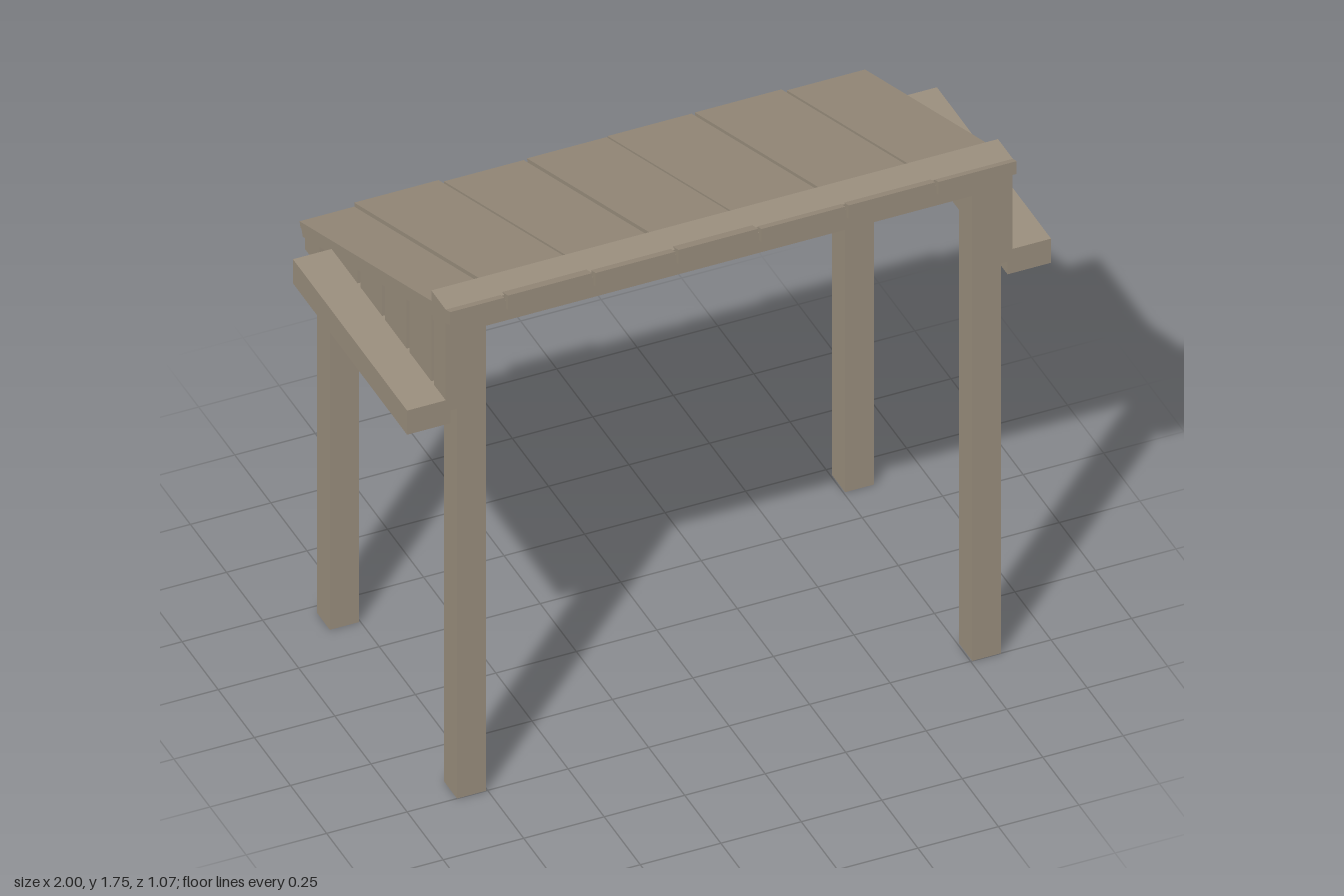
import * as THREE from 'three';

const wood = new THREE.MeshStandardMaterial({ color: 0x9b8f7e, flatShading: true });

// Roof heights at a given z
const SLOPE = 0.368;
const topY = z => 1.75 - SLOPE * (0.53 - z);
const underY = z => topY(z) - 0.052;

function mesh(name, geometry) {
  const m = new THREE.Mesh(geometry, wood);
  m.name = name;
  return m;
}

// Box given by its extents on each axis
function box(name, [x0, x1], [y0, y1], [z0, z1]) {
  const m = mesh(name, new THREE.BoxGeometry(x1 - x0, y1 - y0, z1 - z0));
  m.position.set((x0 + x1) / 2, (y0 + y1) / 2, (z0 + z1) / 2);
  return m;
}

// Solid with a side outline of [z, y] points, running from x0 to x1
function sideSolid(name, points, x0, x1) {
  const shape = new THREE.Shape(points.map(([z, y]) => new THREE.Vector2(-z, y)));
  const g = new THREE.ExtrudeGeometry(shape, { depth: x1 - x0, bevelEnabled: false });
  g.rotateY(Math.PI / 2);
  g.translate(x0, 0, 0);
  return mesh(name, g);
}

// Sloping sheet between z0 (back) and z1 (front), between two depths under the roof top
function sloped(name, x0, x1, z0, z1, dTop, dBottom) {
  const lean = (dBottom - dTop) * 0.35;
  return sideSolid(name, [
    [z1, topY(z1) - dTop], [z1, topY(z1) - dBottom],
    [z0 + lean, topY(z0 + lean) - dBottom], [z0, topY(z0) - dTop],
  ], x0, x1);
}

export function createModel() {
  const model = new THREE.Group();
  model.name = 'shelter';

  for (const s of [-1, 1]) {
    const span = (a, b) => (s > 0 ? [a, b] : [-b, -a]);

    // Posts and side beams
    model.add(box('frontPost', span(0.755, 0.845), [0, 1.66], [0.41, 0.5]));
    model.add(box('backPost', span(0.755, 0.845), [0, 1.33], [-0.47, -0.38]));
    model.add(box('sideBeam', span(0.865, 1), [1.33, 1.415], [-0.29, 0.5]));

    // Gable wall: recessed backing with vertical boards
    const wall = new THREE.Group();
    wall.name = 'sideWall';
    const board = (name, z0, z1, x0, x1) => wall.add(sideSolid(name, [
      [z1, 1.375], [z1, underY(z1) + 0.01], [z0, underY(z0) + 0.01], [z0, 1.375],
    ], ...span(x0, x1)));
    board('wallBacking', -0.29, 0.5, 0.845, 0.86);
    const edges = [0.51, 0.41, 0.24, 0.07, -0.1, -0.3];
    for (let i = 0; i < 5; i++) board('wallBoard', edges[i + 1] + 0.01, edges[i] - 0.01, 0.858, 0.88);
    model.add(wall);
  }

  // Cross beams
  model.add(box('frontBeam', [-0.88, 0.88], [1.64, 1.695], [0.41, 0.5]));
  model.add(box('middleBeam', [-0.87, 0.87], [1.33, 1.415], [-0.29, -0.12]));
  model.add(sideSolid('backBeam', [
    [-0.375, 1.29], [-0.375, underY(-0.375) + 0.01],
    [-0.475, underY(-0.475) + 0.01], [-0.475, 1.29],
  ], -0.88, 0.88));

  // Roof: lower sheet, planks of uneven length and a ridge cap
  const roof = new THREE.Group();
  roof.name = 'roof';
  roof.add(sloped('roofSheet', -0.88, 0.88, -0.5, 0.515, 0.022, 0.052));
  const seams = [-0.885, -0.705, -0.433, -0.175, 0.082, 0.353, 0.632, 0.885];
  const backs = [-0.512, -0.535, -0.52, -0.52, -0.535, -0.535, -0.52];
  backs.forEach((back, i) => {
    const lift = [0.004, 0, 0.003, 0, 0.004, 0.003, 0.005][i];
    roof.add(sloped('roofPlank', seams[i] + 0.005, seams[i + 1] - 0.005, back, 0.53, lift, 0.026));
    roof.add(sloped('plankFrontEnd', seams[i] + 0.005, seams[i + 1] - 0.005, 0.5, 0.53, lift, 0.05));
  });
  roof.add(box('ridgeCap', [-0.88, 0.88], [1.69, 1.735], [0.4, 0.505]));
  model.add(roof);

  return model;
}
